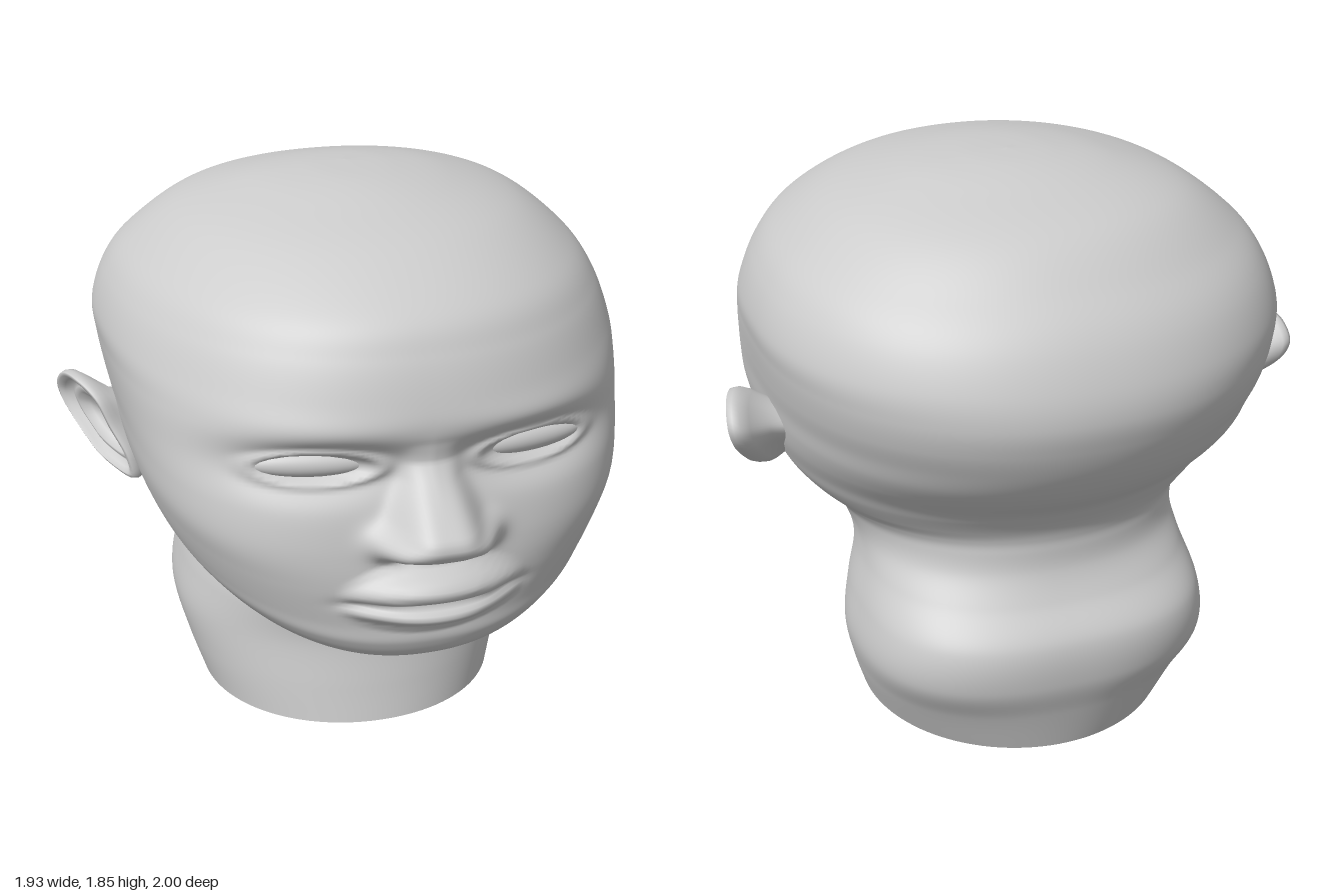
import * as THREE from 'three';

// Head guide lines from the neck base up to the crown.
// front and back: [z, y, roundness exponent], side: [half width, y, z]
const FRONT = [
  [.315, 0, 2.05], [.29, .12, 2.05], [.26, .28, 2.05], [.27, .38, 2.1], [.29, .44, 2.1], [.35, .475, 2.1],
  [.55, .487, 2.1], [.67, .50, 2.1], [.78, .535, 2.2], [.825, .60, 2.3], [.83, .67, 2.4], [.84, .80, 2.65],
  [.83, .92, 2.95], [.81, 1.05, 3.0], [.80, 1.18, 2.8], [.815, 1.29, 2.5], [.80, 1.38, 2.3], [.75, 1.51, 2.2],
  [.67, 1.62, 2.15], [.46, 1.74, 2.1], [.24, 1.805, 2.05], [.05, 1.842, 2], [-.16, 1.853, 2],
];
const SIDE = [
  [.515, 0, -.2], [.56, .14, -.25], [.59, .28, -.28], [.57, .42, -.28], [.537, .55, -.25], [.535, .63, -.2],
  [.565, .70, -.13], [.61, .75, -.09], [.67, .80, -.06], [.72, .86, -.05], [.75, .92, -.05], [.775, .99, -.08],
  [.79, 1.06, -.1], [.80, 1.13, -.12], [.815, 1.21, -.15], [.83, 1.31, -.18], [.835, 1.40, -.2], [.795, 1.52, -.2],
  [.72, 1.62, -.2], [.56, 1.738, -.18], [.34, 1.815, -.17], [.16, 1.845, -.16], [0, 1.853, -.16],
];
const BACK = [
  [-.735, 0, 2], [-.775, .15, 2.2], [-.81, .28, 2.6], [-.80, .42, 2.75], [-.72, .53, 2.5], [-.675, .62, 2.2],
  [-.665, .70, 2.1], [-.667, .74, 2.05], [-.68, .78, 2.05], [-.71, .83, 2.05], [-.75, .88, 2.05], [-.84, .96, 2.05],
  [-.90, 1.03, 2.1], [-.95, 1.11, 2.1], [-.985, 1.2, 2.15], [-1, 1.29, 2.15], [-.98, 1.39, 2.15], [-.92, 1.51, 2.15],
  [-.83, 1.61, 2.1], [-.67, 1.74, 2.1], [-.45, 1.81, 2.05], [-.30, 1.843, 2], [-.16, 1.853, 2],
];

const spline = pts => new THREE.CatmullRomCurve3(pts, false, 'catmullrom', 0.5);
const bump = (d, s) => Math.exp(-(d / s) * (d / s));

// Linear lookup in a table of [y, value], highest y first
function table(y, rows) {
  if (y >= rows[0][0]) return rows[0][1];
  for (let i = 1; i < rows.length; i++) {
    const [y0, v0] = rows[i - 1], [y1, v1] = rows[i];
    if (y >= y1) return THREE.MathUtils.lerp(v0, v1, (y0 - y) / (y0 - y1));
  }
  return rows[rows.length - 1][1];
}

const NOSE_DEPTH = [[1.26, 0], [1.2, .015], [1.13, .075], [1.07, .13], [1.02, .178], [.99, .182], [.965, .165], [.945, .14], [.928, .085], [.91, .02], [.89, 0]];
const NOSE_WIDTH = [[1.26, .07], [1.15, .085], [1.05, .12], [.98, .14], [.9, .15]];
const LIP_DEPTH = [[.92, 0], [.88, .035], [.85, .085], [.825, .105], [.795, .095], [.775, .06], [.765, .045], [.752, .08], [.73, .095], [.705, .075], [.68, .02], [.64, 0]];
const MOUTH_Y = .767;

// Forward relief of the face at (x, y)
function faceRelief(x, y) {
  const ax = Math.abs(x);
  let d = 0;
  // nose, wings and nostrils
  d += table(y, NOSE_DEPTH) * Math.exp(-Math.pow(ax / table(y, NOSE_WIDTH), 4));
  d += .06 * bump(ax - .155, .055) * bump(y - .97, .045);
  d -= .04 * bump(ax - .08, .03) * bump(y - .925, .018);
  // lips, closing towards the corners
  const open = Math.max(0, 1 - (ax / .3) ** 2);
  d += table(MOUTH_Y + (y - MOUTH_Y) / (.4 + .6 * open), LIP_DEPTH) * Math.pow(open, 1.3);
  d -= .015 * bump(ax - .24, .06) * bump(y - MOUTH_Y, .02);
  // eye sockets, lids and brows
  const ex = ax - .34, ey = y - 1.188;
  const e = Math.hypot(ex / .15, ey / .042);
  d -= .075 * bump(ex, .25) * bump(ey, .085);
  d += .02 * bump(e - 1.25, .25);
  d += .012 * bump(ax - .33, .22) * bump(y - 1.3, .05);
  return d;
}

// Surface through closed loops of points
function loft(loops, flip = false) {
  const n = loops[0].length, pos = [], idx = [];
  for (const loop of loops) for (const p of loop) pos.push(p.x, p.y, p.z);
  for (let i = 0; i < loops.length - 1; i++) {
    for (let j = 0; j < n; j++) {
      const k = (j + 1) % n;
      const a = i * n + j, b = i * n + k, c = b + n, d = a + n;
      if (flip) idx.push(a, c, b, a, d, c);
      else idx.push(a, b, c, a, c, d);
    }
  }
  const g = new THREE.BufferGeometry();
  g.setAttribute('position', new THREE.Float32BufferAttribute(pos, 3));
  g.setIndex(idx);
  g.computeVertexNormals();
  return g;
}

function headLoops() {
  const front = spline(FRONT.map(([z, y, n]) => new THREE.Vector3(n, y, z)));
  const side = spline(SIDE.map(([w, y, z]) => new THREE.Vector3(w, y, z)));
  const back = spline(BACK.map(([z, y, n]) => new THREE.Vector3(n, y, z)));
  const rows = 264, cols = 180, loops = [];
  for (let i = 0; i <= rows; i++) {
    const t = i / rows, F = front.getPoint(t), S = side.getPoint(t), B = back.getPoint(t);
    const loop = [];
    for (let j = 0; j < cols; j++) {
      const u = (j / cols) * Math.PI * 2;
      const th = u - .6 * Math.sin(u); // finer columns on the face
      const c = Math.cos(th), s = Math.sin(th), end = c > 0 ? F : B;
      const n = end.x;
      const r = Math.pow(Math.abs(c) ** n + Math.abs(s) ** n, -1 / n);
      const f = Math.abs(c) * r;
      const x = Math.max(0, S.x) * s * r;
      const y = S.y + (end.y - S.y) * Math.pow(f, 1.5);
      let z = S.z + (end.z - S.z) * f;
      if (c > 0 && y > .5) z += faceRelief(x, y) * THREE.MathUtils.smoothstep(f, .45, .8);
      loop.push(new THREE.Vector3(x, y, z));
    }
    loops.push(loop);
  }
  return loops;
}

// Ear: an outline in (backward, up), shrunk and offset from the root over the rim into the bowl
function earGeometry(sign) {
  const outline = new THREE.CatmullRomCurve3([
    [-.15, -.16], [-.05, -.14], [.05, -.07], [.145, .03], [.155, .09],
    [.09, .155], [0, .16], [-.075, .11], [-.11, .02], [-.155, -.08],
  ].map(([a, y]) => new THREE.Vector3(a, y, 0)), true).getPoints(56).slice(0, -1);
  // [scale, outward offset, shift to the front]
  const steps = [[.5, -.16, .05], [.6, -.09, .04], [.86, -.045, .01], [.97, -.022, 0], [1, 0, 0], [.97, .018, 0],
    [.9, .02, 0], [.82, .004, 0], [.74, -.018, 0], [.66, -.012, .005], [.56, -.008, .015], [.46, -.035, .025], [.25, -.05, .03], [0, -.052, .03]];
  const loops = steps.map(([s, h, shift]) => outline.map(p => {
    const a = p.x * s - shift, y = p.y * s;
    const lean = (a < 0 ? .6 : .39) * a + .2 * y; // front edge and lobe lie against the head
    return new THREE.Vector3(sign * (.872 + lean + .9 * h), 1.025 + y, -.17 - .98 * a + .43 * h);
  }));
  return loft(loops, sign < 0);
}

export function createModel() {
  const model = new THREE.Group();
  model.name = 'headBust';
  const clay = new THREE.MeshStandardMaterial({ color: 0xcccccc });
  clay.name = 'greyClay';
  const add = (name, geometry) => {
    const mesh = new THREE.Mesh(geometry, clay);
    mesh.name = name;
    model.add(mesh);
    return mesh;
  };

  // head and neck in one skin
  const loops = headLoops();
  add('headAndNeck', loft(loops));

  // flat underside of the neck
  const centre = loops[0].map(() => new THREE.Vector3(0, 0, -.2));
  add('neckBase', loft([centre, loops[0]]));

  // paired eyes and ears
  for (const [label, sign] of [['left', 1], ['right', -1]]) {
    const eye = add(label + 'Eye', new THREE.SphereGeometry(1, 32, 20));
    eye.scale.set(.2, .046, .05);
    eye.position.set(sign * .34, 1.188, .675);
    eye.rotation.y = sign * .2;
    add(label + 'Ear', earGeometry(sign));
  }
  return model;
}
